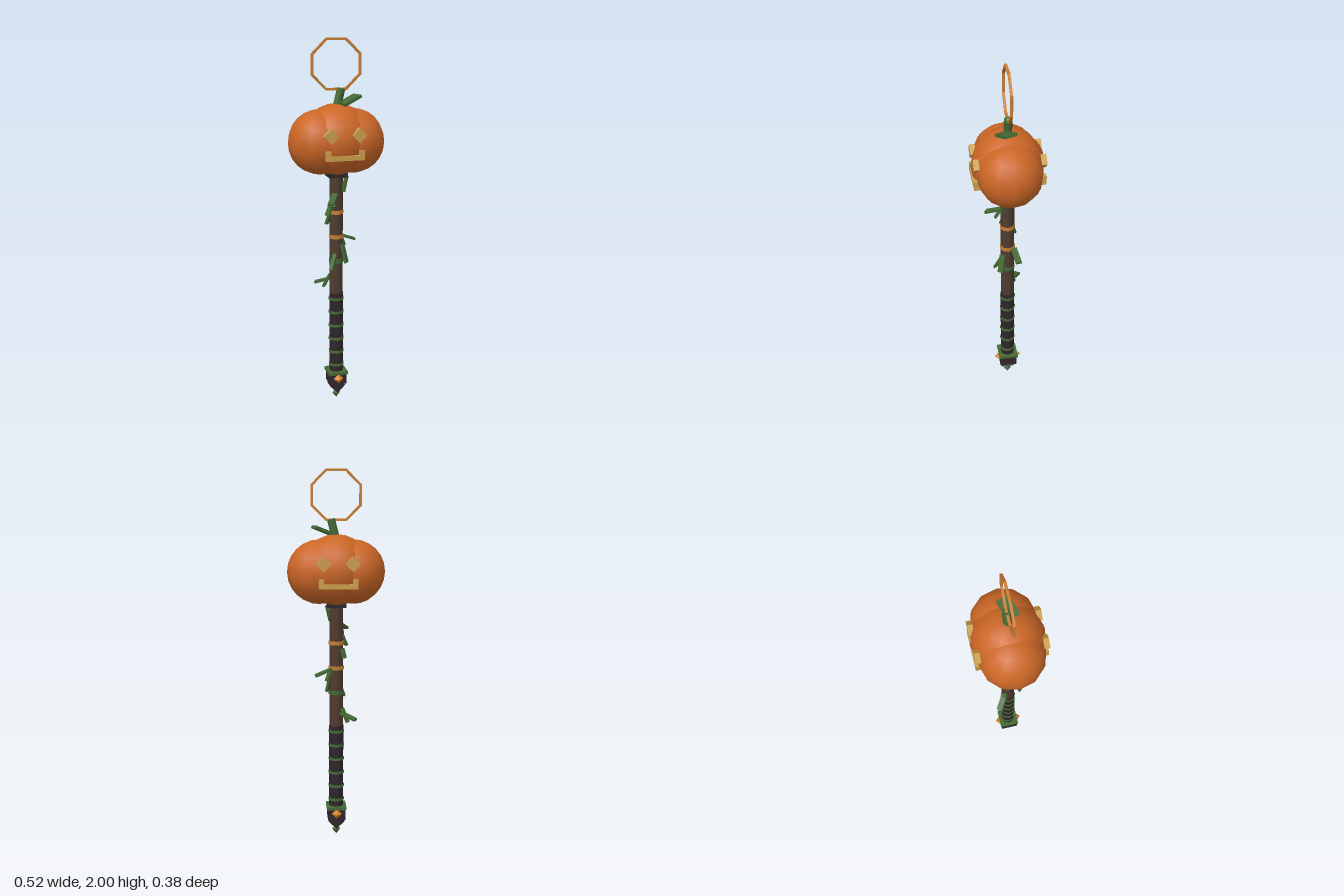
import * as THREE from 'three';

const mat = (name, color, flatShading = false) => {
  const m = new THREE.MeshStandardMaterial({ color, flatShading });
  m.name = name;
  return m;
};

export function createModel() {
  const model = new THREE.Group();
  model.name = 'pumpkinStaff';
  const M = {
    pumpkin: mat('pumpkin orange', 0xcb6626),
    face: mat('pale gold', 0xcb9f4d),
    green: mat('leaf green', 0x456a34),
    wood: mat('brown wood', 0x4f3c30),
    grip: mat('dark grip', 0x2f262b),
    band: mat('copper band', 0xca8036),
    gem: mat('amber gem', 0xdb8526),
  };
  const add = (name, geo, material, x = 0, y = 0, z = 0, parent = model) => {
    const m = new THREE.Mesh(geo, material);
    m.name = name;
    m.position.set(x, y, z);
    parent.add(m);
    return m;
  };
  const cyl = (r, h, n = 8) => new THREE.CylinderGeometry(r, r, h, n);
  const box = (w, h, d) => new THREE.BoxGeometry(w, h, d);

  // Pumpkin: a middle lobe and two side lobes
  add('middleLobe', new THREE.SphereGeometry(0.188, 12, 12), M.pumpkin, 0, 1.478);
  for (const s of [-1, 1]) {
    add('sideLobe', new THREE.SphereGeometry(0.17, 12, 12), M.pumpkin, s * 0.09, 1.468);
  }

  // The same face on the front and on the back
  for (const s of [1, -1]) {
    const face = new THREE.Group();
    face.name = s > 0 ? 'frontFace' : 'backFace';
    model.add(face);
    for (const e of [-1, 1]) {
      add('eye', box(0.056, 0.056, 0.028), M.face, e * 0.075, 1.522, s * 0.17, face)
        .rotation.z = Math.PI / 4;
      add('mouthCorner', box(0.026, 0.05, 0.035), M.face, e * 0.088, 1.42, s * 0.167, face);
    }
    add('mouthBar', box(0.15, 0.024, 0.035), M.face, 0, 1.407, s * 0.167, face);
  }

  // Slanted stem and its leaf
  add('stem', cyl(0.022, 0.11, 10), M.green, 0.014, 1.69).rotation.z = -0.24;

  // Leaf: a slab running from its base to its tip
  const leaf = (name, from, to, width, thick) => {
    const a = new THREE.Vector3(...from), b = new THREE.Vector3(...to);
    const dir = b.clone().sub(a);
    const mid = a.add(b).multiplyScalar(0.5);
    const m = add(name, box(width, thick, dir.length()), M.green, mid.x, mid.y, mid.z);
    m.lookAt(b);
  };
  leaf('stemLeaf', [0.02, 1.663, 0.035], [0.117, 1.703, 0], 0.068, 0.016);

  // Hanging ring: an octagon with flat top and bottom
  const octagon = (r, T) => {
    const p = new T();
    for (let i = 0; i < 8; i++) {
      const a = (i + 0.5) * Math.PI / 4;
      p[i ? 'lineTo' : 'moveTo'](r * Math.cos(a), r * Math.sin(a));
    }
    p.closePath();
    return p;
  };
  const ring = octagon(0.1443, THREE.Shape);
  ring.holes.push(octagon(0.131, THREE.Path));
  add('hangingRing', new THREE.ExtrudeGeometry(ring, { depth: 0.013, bevelEnabled: false }),
    M.band, 0, 1.867, -0.0065);

  // Shaft, collar and bands
  add('collar', box(0.1, 0.03, 0.1), M.grip, 0, 1.295);
  add('shaft', cyl(0.037, 0.68), M.wood, 0, 0.95);
  for (const y of [1.088, 0.952]) add('copperBand', cyl(0.041, 0.02), M.band, 0, y);
  add('vineBand', cyl(0.041, 0.022), M.green, 0, 0.816);

  // Wrapped grip with green cords
  add('grip', cyl(0.039, 0.48), M.grip, 0, 0.39);
  for (let i = 0; i < 6; i++) {
    add('gripCord', cyl(0.043, 0.014), M.green, 0, 0.598 - i * 0.0776);
  }

  // Leaves along the shaft
  const leaves = [
    [[0.03, 1.2, 0.03], [0.05, 1.285, 0.025]],
    [[-0.015, 1.19, 0.03], [-0.06, 1.15, 0.108]],
    [[-0.025, 1.18, 0.03], [-0.035, 1.125, 0.06]],
    [[-0.03, 1.13, 0.01], [-0.055, 1.07, 0.02]],
    [[-0.03, 1.06, -0.03], [-0.042, 1.01, -0.045]],
    [[0.025, 0.95, -0.03], [0.115, 0.915, -0.045]],
    [[0.03, 0.95, -0.03], [0.055, 0.885, -0.045]],
    [[0.025, 0.91, 0.03], [0.045, 0.81, 0.045]],
    [[-0.015, 0.86, 0.035], [-0.045, 0.78, 0.062]],
    [[-0.025, 0.705, -0.025], [-0.1, 0.675, -0.073]],
    [[-0.03, 0.73, -0.02], [-0.06, 0.655, -0.045]],
  ];
  leaves.forEach(([a, b], i) => leaf('shaftLeaf', a, b, i % 2 ? 0.032 : 0.022, 0.013));

  // Pommel: square block, diamond point, side gems and tip
  add('pommelTrim', box(0.108, 0.016, 0.108), M.green, 0, 0.164);
  add('pommelBlock', box(0.096, 0.064, 0.096), M.grip, 0, 0.13);
  add('pommelPoint', box(0.062, 0.062, 0.066), M.grip, 0, 0.084).rotation.z = Math.PI / 4;
  for (const s of [-1, 1]) {
    add('pommelGem', new THREE.OctahedronGeometry(0.028), M.gem, 0, 0.134, s * 0.05);
  }
  add('pommelTip', new THREE.OctahedronGeometry(0.03), M.green, 0, 0.03).scale.set(0.75, 1, 0.75);

  return model;
}
